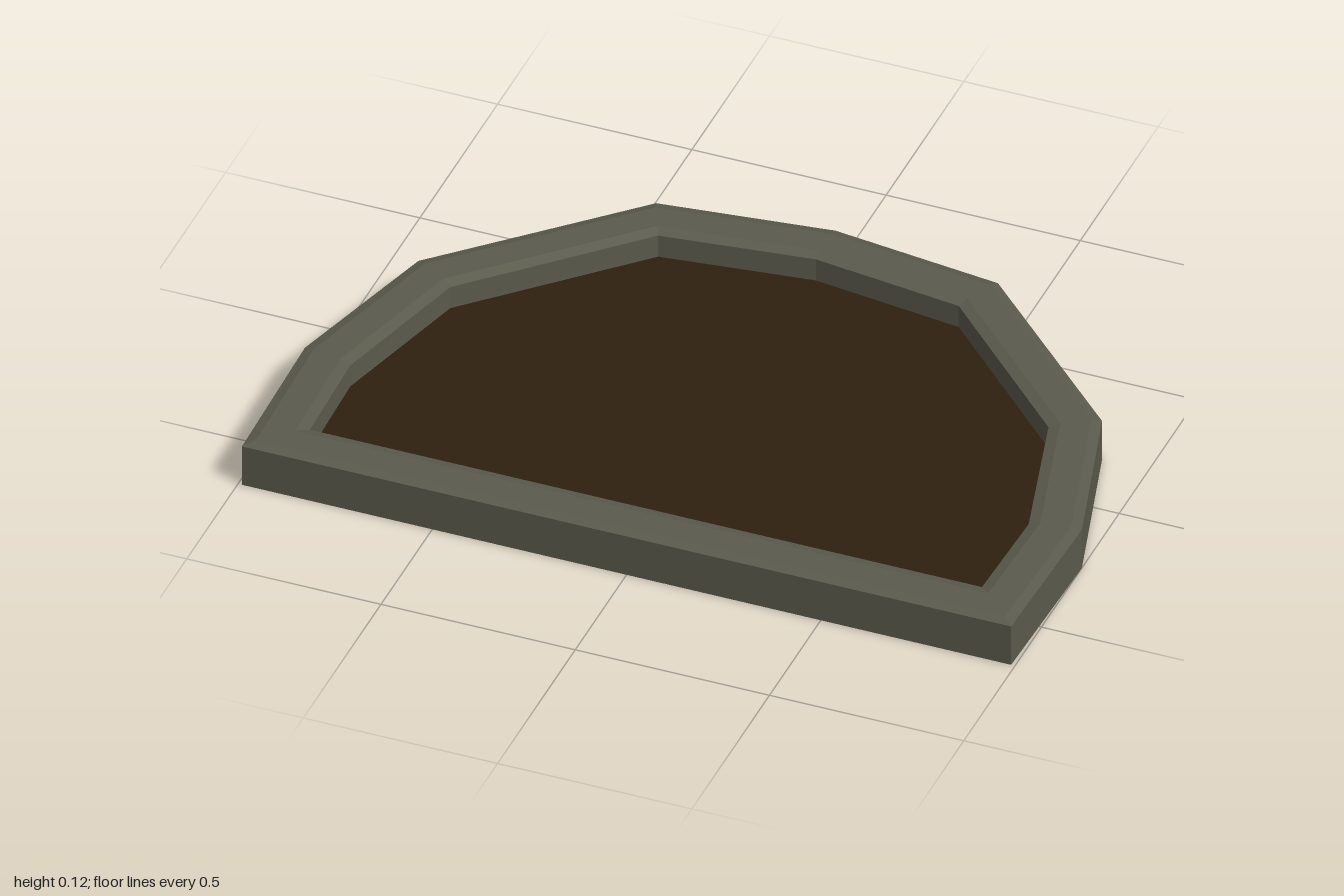
import * as THREE from 'three';

// Half outlines [x, z] from back centre to front corner
const OUTER = [[0, -0.675], [0.44, -0.62], [0.88, -0.19], [1, 0.24], [0.99, 0.67]];
const INNER = [[0, -0.55], [0.387, -0.5], [0.77, -0.12], [0.873, 0.265], [0.865, 0.545]];

// Mirror a half outline into a loop, counter-clockwise from above
const mirror = half => [
  ...half.map(([x, z]) => [-x, z]),
  ...half.slice(1).reverse(),
];
const outer = mirror(OUTER), inner = mirror(INNER);

// Loop at height y, blended from the outer (t = 0) to the inner (t = 1) outline
const ring = (t, y) => outer.map(([x, z], i) => [
  x + (inner[i][0] - x) * t, y, z + (inner[i][1] - z) * t,
]);

function toGeometry(triangles) {
  const g = new THREE.BufferGeometry();
  g.setAttribute('position', new THREE.Float32BufferAttribute(triangles.flat(2), 3));
  g.computeVertexNormals();
  return g;
}

function skin(rings) {
  const tris = [];
  for (let r = 0; r < rings.length - 1; r++) {
    const lo = rings[r], hi = rings[r + 1];
    lo.forEach((a, i) => {
      const j = (i + 1) % lo.length;
      tris.push([a, lo[j], hi[j]], [a, hi[j], hi[i]]);
    });
  }
  return tris;
}

function cap(loop, up) {
  const tris = [];
  for (let i = 1; i < loop.length - 1; i++) {
    tris.push(up ? [loop[0], loop[i], loop[i + 1]] : [loop[0], loop[i + 1], loop[i]]);
  }
  return tris;
}

export function createModel() {
  const stone = new THREE.MeshStandardMaterial({ color: 0x5a5a4d, flatShading: true });
  stone.name = 'stone';
  const soil = new THREE.MeshStandardMaterial({ color: 0x2e2010, flatShading: true });
  soil.name = 'soil';

  const group = new THREE.Group();
  group.name = 'gardenBed';
  const add = (name, triangles, material) => {
    const mesh = new THREE.Mesh(toGeometry(triangles), material);
    mesh.name = name;
    group.add(mesh);
  };

  // Stone kerb: outer wall, bevelled top, inner wall, closed underside
  add('stoneRim', skin([
    ring(0, 0), ring(0, 0.113), ring(0.2, 0.12),
    ring(0.78, 0.12), ring(1, 0.112), ring(1, 0.05),
  ]), stone);
  add('base', cap(ring(0, 0), false), stone);

  // Sunken soil bed
  add('soilBed', cap(ring(1, 0.05), true), soil);
  return group;
}
